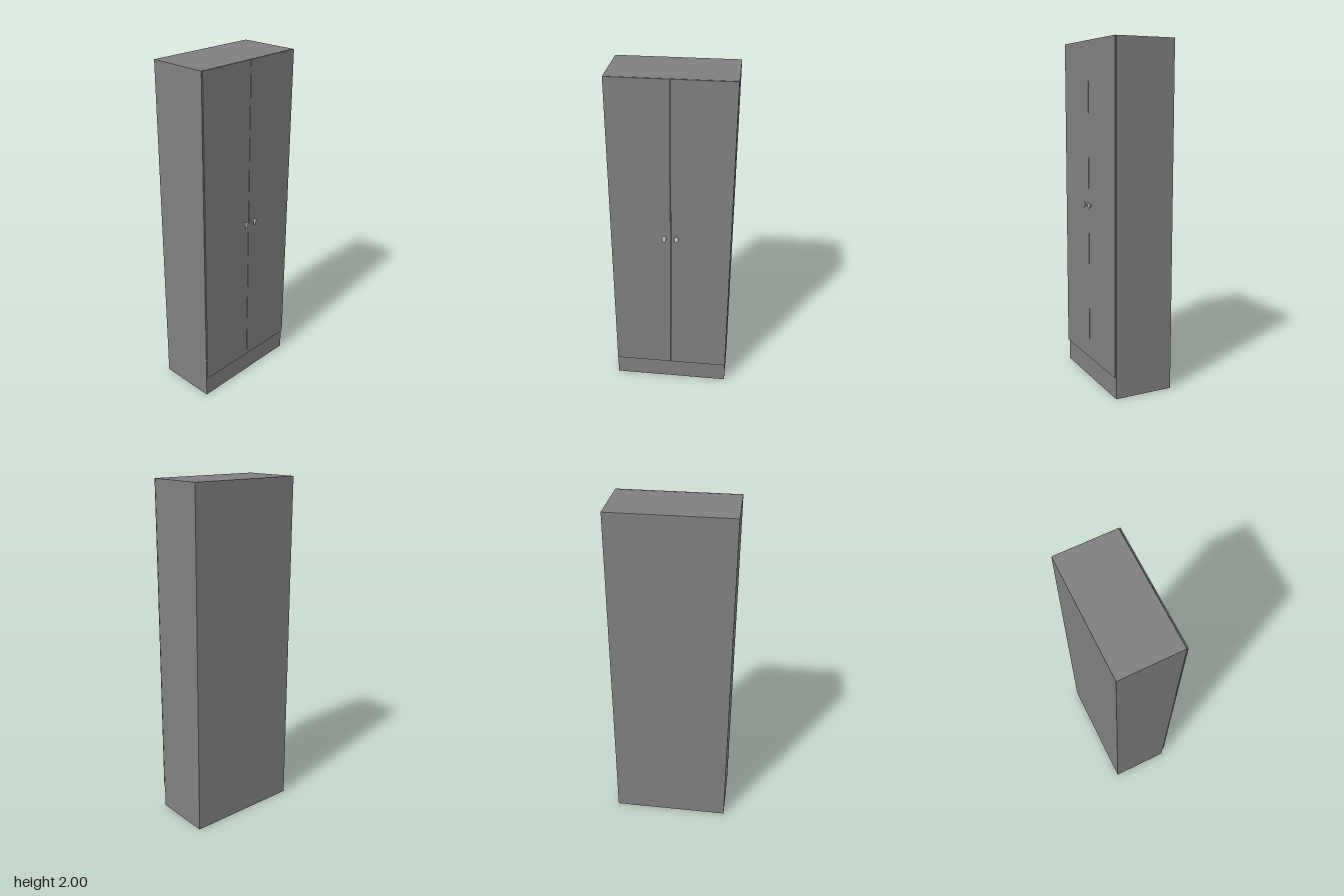
import * as THREE from 'three';

export function createModel() {
  const model = new THREE.Group();
  const panelMat = new THREE.MeshStandardMaterial({ color: 0x808080 });
  const knobMat = new THREE.MeshStandardMaterial({ color: 0xcccccc });

  const addBox = (name, [x0, x1], [y0, y1], [z0, z1]) => {
    const mesh = new THREE.Mesh(new THREE.BoxGeometry(x1 - x0, y1 - y0, z1 - z0), panelMat);
    mesh.position.set((x0 + x1) / 2, (y0 + y1) / 2, (z0 + z1) / 2);
    mesh.name = name;
    model.add(mesh);
  };

  // Cabinet carcass, with its plinth showing below the doors
  addBox('carcass', [-0.19, 0.161], [0, 2], [-0.346, 0.346]);

  // Two thin doors on the +x side, standing just clear of the carcass
  addBox('leftDoor', [0.164, 0.17], [0.128, 2], [-0.345, -0.0015]);
  addBox('rightDoor', [0.164, 0.17], [0.128, 2], [0.0015, 0.345]);

  // Flared knob: foot, narrow neck, wide rim and domed face
  const profile = [
    [0, 0], [0.006, 0], [0.0055, 0.002], [0.004, 0.006], [0.0048, 0.009],
    [0.0085, 0.0125], [0.0125, 0.0155], [0.013, 0.0168], [0.0115, 0.0185],
    [0.007, 0.0198], [0, 0.0203],
  ].map(([r, h]) => new THREE.Vector2(r, h));
  const knobGeo = new THREE.LatheGeometry(profile, 24);
  knobGeo.rotateZ(-Math.PI / 2); // axis points along +x
  knobGeo.scale(1, 1.6, 1); // oval, taller than wide

  for (const [name, z] of [['leftKnob', -0.035], ['rightKnob', 0.035]]) {
    const knob = new THREE.Mesh(knobGeo, knobMat);
    knob.position.set(0.1698, 1.065, z);
    knob.name = name;
    model.add(knob);
  }
  return model;
}
